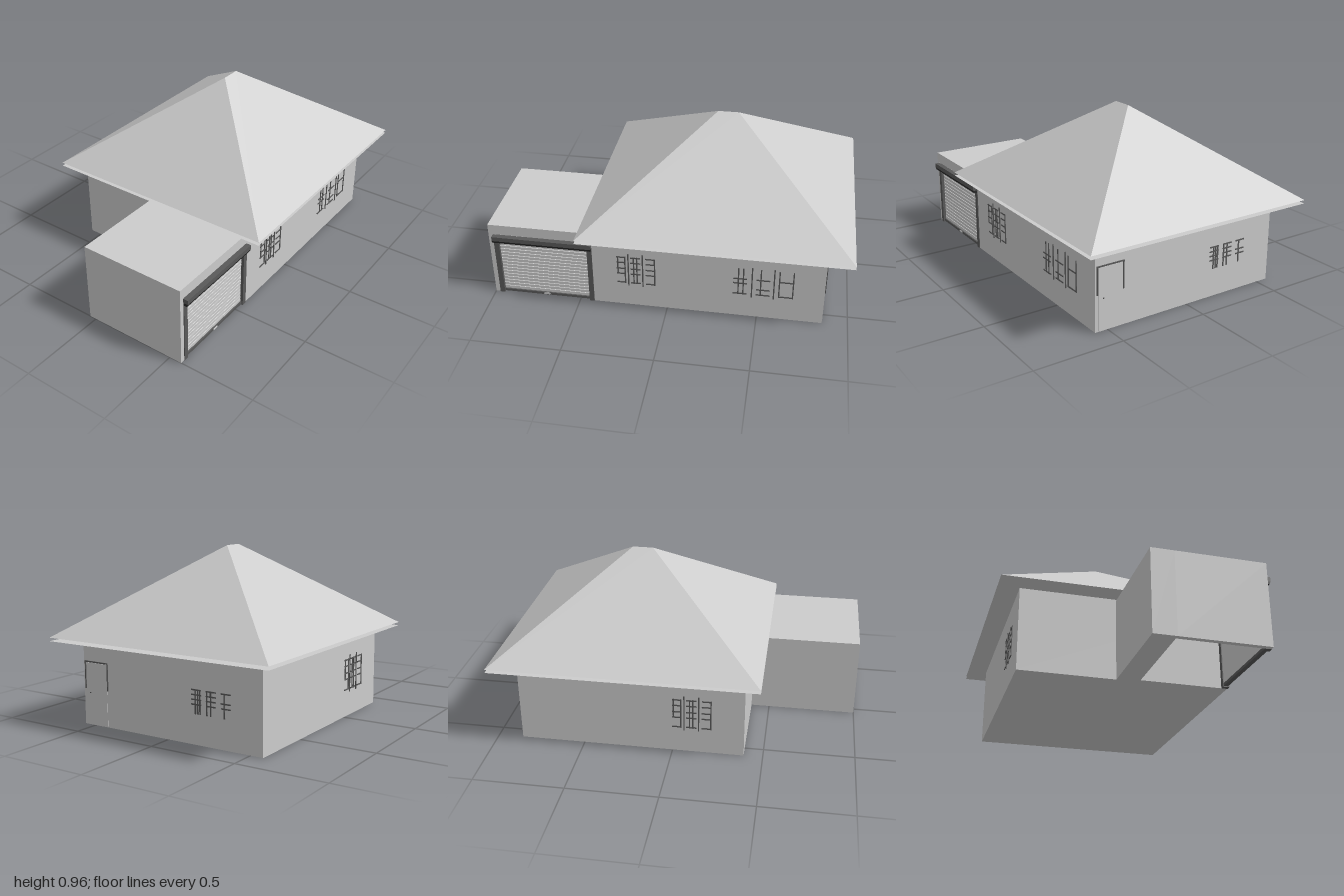
import * as THREE from 'three';

const mat = (name, color, side = THREE.FrontSide) => {
  const m = new THREE.MeshStandardMaterial({ color, side });
  m.name = name;
  return m;
};

export function createModel() {
  const model = new THREE.Group();
  model.name = 'house';
  const plaster = mat('plaster', 0xcccccc);
  const sheet = mat('roofSheet', 0xcccccc, THREE.DoubleSide);
  const metal = mat('darkMetal', 0x5a5a5a);
  const black = mat('blackTrim', 0x2a2a2a);

  const add = (parent, name, geometry, material) => {
    const mesh = new THREE.Mesh(geometry, material);
    mesh.name = name;
    parent.add(mesh);
    return mesh;
  };
  // box given by its minimum and maximum corners
  const box = (parent, name, [x0, y0, z0], [x1, y1, z1], material) => {
    const g = new THREE.BoxGeometry(x1 - x0, y1 - y0, z1 - z0);
    g.translate((x0 + x1) / 2, (y0 + y1) / 2, (z0 + z1) / 2);
    return add(parent, name, g, material);
  };
  // [z, y] profile swept along x
  const sweepX = (parent, name, profile, x0, x1, material) => {
    const shape = new THREE.Shape(profile.map(([z, y]) => new THREE.Vector2(-z, y)));
    const g = new THREE.ExtrudeGeometry(shape, { depth: x1 - x0, bevelEnabled: false });
    g.rotateY(Math.PI / 2).translate(x0, 0, 0);
    return add(parent, name, g, material);
  };

  // main walls
  box(model, 'houseWalls', [-0.395, 0, -0.572], [0.86, 0.47, 0.572], plaster);

  // flat eave sheet under the roof
  const eave = new THREE.PlaneGeometry(1.48, 1.372).rotateX(-Math.PI / 2).translate(0.258, 0.468, 0);
  add(model, 'eaveSheet', eave, sheet);

  // hip roof with a short ridge and a flat underside
  const y0 = 0.487, y1 = 0.965;
  const A = [-0.482, y0, 0.686], B = [0.998, y0, 0.686];
  const C = [0.998, y0, -0.686], D = [-0.482, y0, -0.686];
  const R = [0.2, y1, 0], S = [0.315, y1, 0];
  const faces = [
    A, B, S, A, S, R, // front slope
    C, D, R, C, R, S, // back slope
    B, C, S, D, A, R, // end slopes
    A, D, C, A, C, B, // underside
  ];
  const roof = new THREE.BufferGeometry();
  roof.setAttribute('position', new THREE.Float32BufferAttribute(faces.flat(), 3));
  roof.computeVertexNormals();
  add(model, 'roof', roof, plaster);

  // garage: hollow shell, open at the front and below
  const garage = new THREE.Group();
  garage.name = 'garage';
  model.add(garage);
  const arch = new THREE.Shape([
    [-1, 0], [-0.972, 0], [-0.972, 0.4], [-0.42, 0.4],
    [-0.42, 0], [-0.395, 0], [-0.395, 0.46], [-1, 0.46],
  ].map(([x, y]) => new THREE.Vector2(x, y)));
  const shell = new THREE.ExtrudeGeometry(arch, { depth: 0.487, bevelEnabled: false });
  add(garage, 'garageShell', shell.translate(0, 0, 0.085), plaster);
  box(garage, 'garageBack', [-1, 0, -0.04], [-0.395, 0.46, 0.085], plaster);

  // roller shutter with slats
  const slats = 16, bottom = 0.02, step = 0.345 / slats;
  const profile = [[0.545, bottom]];
  for (let i = 0; i < slats; i++) {
    const y = bottom + i * step;
    profile.push([0.56, y], [0.56, y + step * 0.8], [0.555, y + step * 0.9]);
  }
  profile.push([0.555, 0.365], [0.545, 0.365]);
  sweepX(garage, 'shutter', profile, -0.948, -0.444, plaster);
  for (const [a, b] of [[-0.974, -0.946], [-0.446, -0.418]])
    box(garage, 'shutterGuide', [a, 0, 0.54], [b, 0.37, 0.576], metal);
  box(garage, 'shutterBottomBar', [-0.948, 0.005, 0.543], [-0.444, 0.02, 0.568], metal);
  box(garage, 'shutterHandle', [-0.715, 0.01, 0.566], [-0.68, 0.018, 0.572], plaster);
  sweepX(garage, 'shutterHousing',
    [[0.57, 0.372], [0.6, 0.372], [0.6, 0.398], [0.57, 0.398]], -0.975, -0.418, metal);
  sweepX(garage, 'shutterHousingLip',
    [[0.57, 0.357], [0.594, 0.357], [0.6, 0.372], [0.57, 0.372]], -0.975, -0.418, black);

  // window grilles, drawn in the wall's own (u, y) plane facing +z
  const T = 0.0035, DEPTH = 0.004;
  const grille = (name, posts, bars) => {
    const g = new THREE.Group();
    g.name = name;
    for (const [u, a, b] of posts)
      box(g, 'uprightBar', [u - T, a, -DEPTH], [u + T, b, DEPTH], metal);
    for (const [a, b, heights] of bars)
      for (const y of heights)
        box(g, 'crossBar', [a, y - T, -DEPTH], [b, y + T, DEPTH], metal);
    model.add(g);
    return g;
  };

  const rungs = [0.325, 0.29, 0.25, 0.215, 0.155];
  const tallPosts = [
    [-0.215, 0.135, 0.35], [-0.135, 0.135, 0.35], [-0.233, 0.15, 0.33],
    [-0.273, 0.22, 0.33], [-0.185, 0.15, 0.33], [-0.167, 0.15, 0.33], [-0.068, 0.15, 0.33],
  ];
  const tallBars = [[-0.28, -0.23, rungs], [-0.203, -0.147, rungs], [-0.118, -0.065, rungs]];
  grille('frontSmallWindow', tallPosts, tallBars).position.z = 0.572;

  const back = grille('backWindow', tallPosts, tallBars);
  back.rotation.y = Math.PI;
  back.position.set(-0.28, 0, -0.572);

  grille('frontLargeWindow', [
    [0.467, 0.135, 0.335], [0.587, 0.135, 0.335],
    [0.393, 0.15, 0.325], [0.42, 0.15, 0.325], [0.515, 0.15, 0.325],
    [0.615, 0.15, 0.325], [0.69, 0.15, 0.325],
  ], [
    [0.365, 0.44, [0.255, 0.225, 0.155]],
    [0.49, 0.565, [0.255, 0.19, 0.155]],
    [0.612, 0.693, [0.255, 0.155]],
  ]).position.z = 0.572;

  // side wall: u runs towards -z
  const side = grille('sideWindow', [
    [0.175, 0.16, 0.285], [0.19, 0.16, 0.285], [0.203, 0.16, 0.285],
    [0.245, 0.16, 0.285], [0.268, 0.16, 0.285], [0.35, 0.16, 0.285],
  ], [
    [0.15, 0.21, [0.285, 0.26, 0.235, 0.21]],
    [0.24, 0.3, [0.285, 0.26, 0.235, 0.21]],
    [0.33, 0.388, [0.285, 0.235, 0.21]],
  ]);
  side.rotation.y = Math.PI / 2;
  side.position.x = 0.86;

  // side door, flush with the wall, with a slim frame
  const door = new THREE.Group();
  door.name = 'sideDoor';
  model.add(door);
  box(door, 'doorPanel', [0.855, 0.005, 0.41], [0.862, 0.345, 0.555], plaster);
  box(door, 'doorHead', [0.855, 0.347, 0.402], [0.865, 0.354, 0.564], metal);
  for (const z of [0.402, 0.557])
    box(door, 'doorJamb', [0.855, 0.2, z], [0.865, 0.35, z + 0.006], metal);
  box(door, 'doorHandle', [0.86, 0.177, 0.523], [0.868, 0.182, 0.529], metal);

  return model;
}
